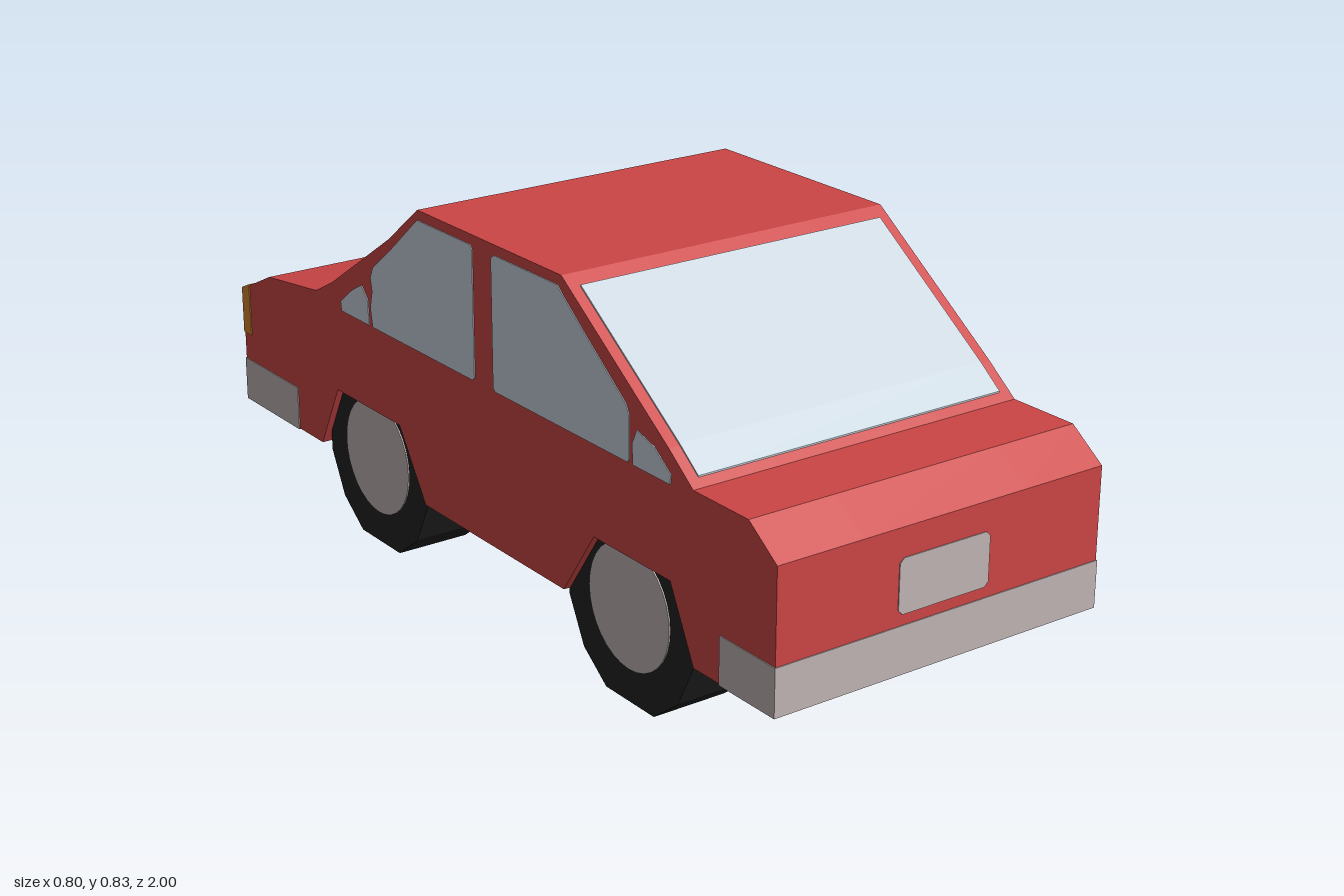
import * as THREE from 'three';

const flat = (name, color) => {
  const m = new THREE.MeshStandardMaterial({ color });
  m.name = name;
  return m;
};

export function createModel() {
  const car = new THREE.Group();
  car.name = 'car';
  const red = flat('red paint', 0xcc4545);
  const glass = flat('pale glass', 0xc8d4dd);
  const grey = flat('warm grey', 0xc0b4b4);
  const black = flat('tyre black', 0x222222);
  const orange = flat('indicator orange', 0xd6862f);

  // Extrudes a side outline of [z, y] points from x0 to x1
  function slab(name, points, x0, x1, material) {
    const shape = new THREE.Shape(points.map(([z, y]) => new THREE.Vector2(-z, y)));
    const geo = new THREE.ExtrudeGeometry(shape, { depth: x1 - x0, bevelEnabled: false });
    geo.rotateY(Math.PI / 2).translate(x0, 0, 0);
    const mesh = new THREE.Mesh(geo, material);
    mesh.name = name;
    car.add(mesh);
    return mesh;
  }
  // The same slab on both sides of the car
  function pair(name, points, x0, x1, material) {
    slab(name + 'Left', points, x0, x1, material);
    slab(name + 'Right', points, -x1, -x0, material);
  }

  // Body: plain core, outer sides notched for the wheels
  const upper = [
    [0.998, 0.17], [0.998, 0.47], [0.914, 0.53], [0.75, 0.53], [0.674, 0.588], [0.326, 0.83],
    [-0.2, 0.83], [-0.32, 0.736], [-0.572, 0.572], [-0.647, 0.533], [-0.866, 0.505],
    [-0.998, 0.442], [-0.998, 0.17],
  ];
  const arches = [
    [-0.645, 0.17], [-0.565, 0.322], [-0.3, 0.322], [-0.2, 0.17],
    [0.325, 0.17], [0.43, 0.322], [0.68, 0.322], [0.755, 0.17],
  ];
  slab('bodyCore', upper, -0.2, 0.2, red);
  pair('bodySide', [...upper, ...arches], 0.2, 0.4, red);

  // Bumpers wrap around both ends
  const band = (a, b) => [[a, 0.168], [b, 0.168], [b, 0.27], [a, 0.27]];
  slab('rearBumper', band(0.835, 1), -0.402, 0.402, grey);
  slab('frontBumper', band(-0.75, -1), -0.402, 0.402, grey);

  // Windscreens: thin plates following the roof slopes
  const plate = (path) => [
    ...path.map(([z, y]) => [z, y + 0.004]),
    ...path.slice().reverse().map(([z, y]) => [z, y - 0.003]),
  ];
  slab('plateEndWindow', plate([[0.355, 0.81], [0.674, 0.588], [0.732, 0.543]]),
    -0.375, 0.375, glass);
  slab('lampEndWindow', plate([[-0.232, 0.805], [-0.32, 0.736], [-0.572, 0.572], [-0.638, 0.538]]),
    -0.375, 0.375, glass);

  // Side windows
  pair('rearDoorWindow', [
    [0.08, 0.525], [0.08, 0.8], [0.09, 0.808], [0.315, 0.808], [0.335, 0.79], [0.406, 0.735],
    [0.54, 0.635], [0.55, 0.615], [0.55, 0.525], [0.545, 0.518], [0.087, 0.518],
  ], 0.397, 0.402, glass);
  pair('frontDoorWindow', [
    [0.01, 0.525], [0.01, 0.8], [0.003, 0.808], [-0.2, 0.808], [-0.3, 0.724], [-0.388, 0.655],
    [-0.4, 0.63], [-0.394, 0.6], [-0.404, 0.56], [-0.396, 0.518], [0.003, 0.518],
  ], 0.397, 0.402, glass);
  pair('rearQuarterWindow', [
    [0.563, 0.518], [0.68, 0.518], [0.683, 0.538], [0.63, 0.577], [0.575, 0.592], [0.56, 0.56],
  ], 0.397, 0.402, glass);
  pair('frontQuarterWindow', [
    [-0.412, 0.518], [-0.53, 0.518], [-0.533, 0.54], [-0.48, 0.58], [-0.44, 0.602], [-0.415, 0.575],
  ], 0.397, 0.402, glass);

  // Lamps and grille wrap over the nose edge
  const nose = [[-0.965, 0.335], [-1, 0.335], [-1, 0.445], [-0.965, 0.461]];
  pair('indicator', nose, 0.278, 0.402, orange);
  pair('headlight', nose, 0.15, 0.278, glass);
  slab('grille', nose, -0.15, 0.15, grey);

  // Number plate with clipped corners
  const tag = new THREE.Shape([
    [-0.112, 0.303], [-0.102, 0.293], [0.102, 0.293], [0.112, 0.303],
    [0.112, 0.398], [0.102, 0.408], [-0.102, 0.408], [-0.112, 0.398],
  ].map(([x, y]) => new THREE.Vector2(x, y)));
  const tagGeo = new THREE.ExtrudeGeometry(tag, { depth: 0.004, bevelEnabled: false });
  const tagMesh = new THREE.Mesh(tagGeo.translate(0, 0, 0.996), grey);
  tagMesh.name = 'numberPlate';
  car.add(tagMesh);

  // Wheels: twelve-sided tyres with round hub discs
  const quarter = [[0.206, 0.05], [0.157, 0.147], [0.08, 0.205]];
  const half = [...quarter, ...quarter.slice().reverse().map(([z, y]) => [-z, y])];
  const rim = [...half, ...half.map(([z, y]) => [-z, -y])];
  const hub = Array.from({ length: 32 }, (_, i) => {
    const a = (i / 32) * Math.PI * 2;
    return [0.133 * Math.cos(a), 0.133 * Math.sin(a)];
  });
  for (const [name, z] of [['rear', 0.528], ['front', -0.424]]) {
    const at = (pts) => pts.map(([pz, py]) => [pz + z, py + 0.205]);
    pair(name + 'Tyre', at(rim), 0.213, 0.384, black);
    pair(name + 'Hub', at(hub), 0.38, 0.387, grey);
  }
  return car;
}
